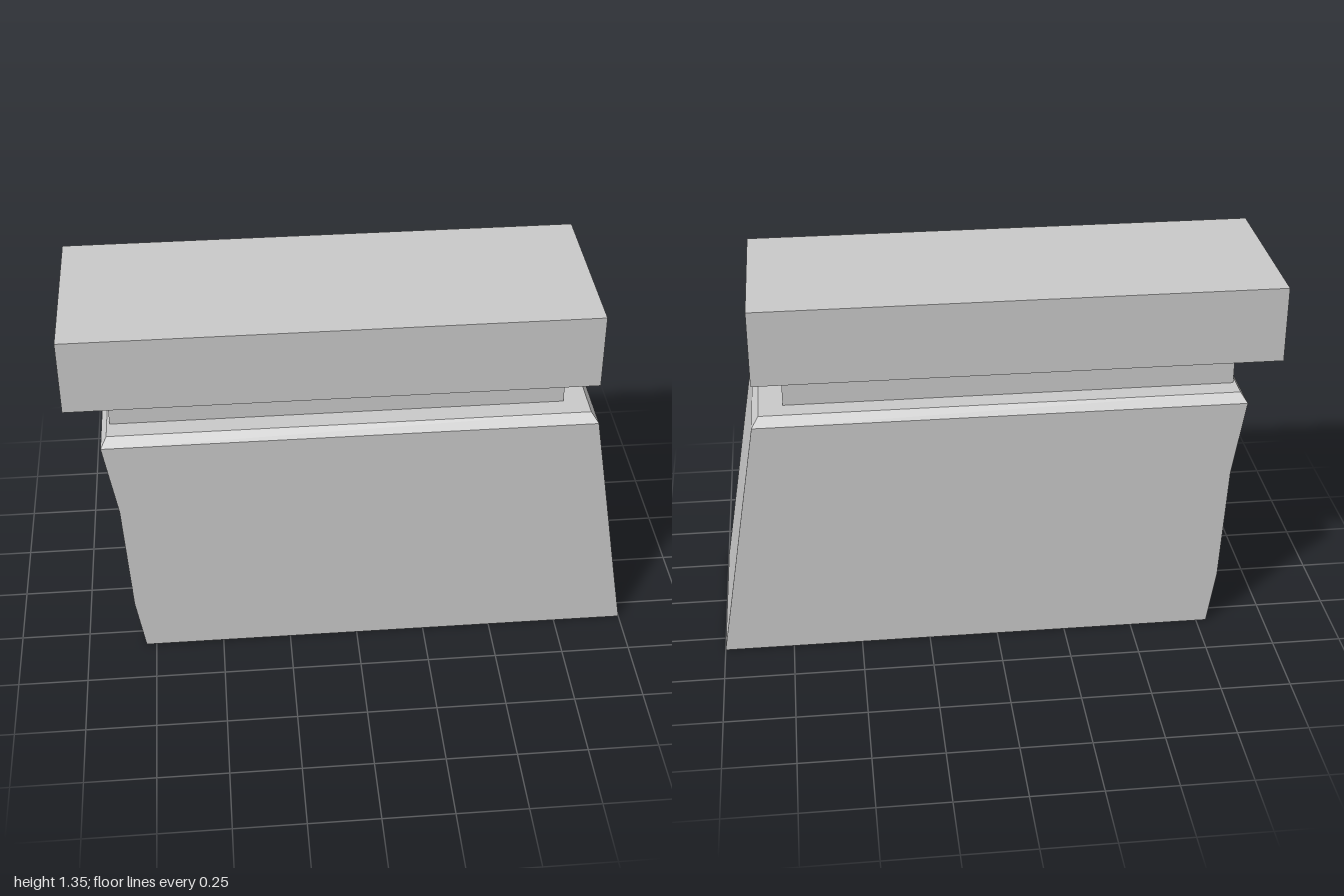
import * as THREE from 'three';

const material = new THREE.MeshStandardMaterial({ color: 0xcccccc, flatShading: true });

// Box given by its x range, y range and half depth
function block(name, x0, x1, y0, y1, halfDepth) {
  const mesh = new THREE.Mesh(new THREE.BoxGeometry(x1 - x0, y1 - y0, halfDepth * 2), material);
  mesh.position.set((x0 + x1) / 2, (y0 + y1) / 2, 0);
  mesh.name = name;
  return mesh;
}

// Closed solid through stacked rectangles [y, x0, x1, halfDepth]
function stackedSections(sections) {
  const positions = [];
  const rings = sections.map(([y, x0, x1, d]) => [[x0, y, d], [x1, y, d], [x1, y, -d], [x0, y, -d]]);
  const quad = (a, b, c, d) => positions.push(...a, ...b, ...c, ...a, ...c, ...d);
  for (let i = 0; i < rings.length - 1; i++) {
    const low = rings[i], high = rings[i + 1];
    for (let j = 0; j < 4; j++) {
      const k = (j + 1) % 4;
      quad(low[j], low[k], high[k], high[j]);
    }
  }
  quad(...rings[rings.length - 1]);
  quad(...[...rings[0]].reverse());
  const geometry = new THREE.BufferGeometry();
  geometry.setAttribute('position', new THREE.Float32BufferAttribute(positions, 3));
  geometry.computeVertexNormals();
  return geometry;
}

export function createModel() {
  const group = new THREE.Group();
  group.name = 'slantedBlock';

  // Leaning body: bowed right side, straight slope on the left, bevelled top rim
  const body = new THREE.Mesh(stackedSections([
    [0, -0.787, 1.0, 0.325],
    [0.203, -0.818, 0.966, 0.325],
    [0.635, -0.84, 0.895, 0.325],
    [0.912, -0.884, 0.849, 0.325],
    [0.943, -0.863, 0.825, 0.295],
  ]), material);
  body.name = 'body';

  // Recessed neck and overhanging cap
  group.add(
    body,
    block('neck', -0.853, 0.74, 0.943, 1.071, 0.222),
    block('cap', -1, 0.842, 1.071, 1.346, 0.322),
  );
  return group;
}
